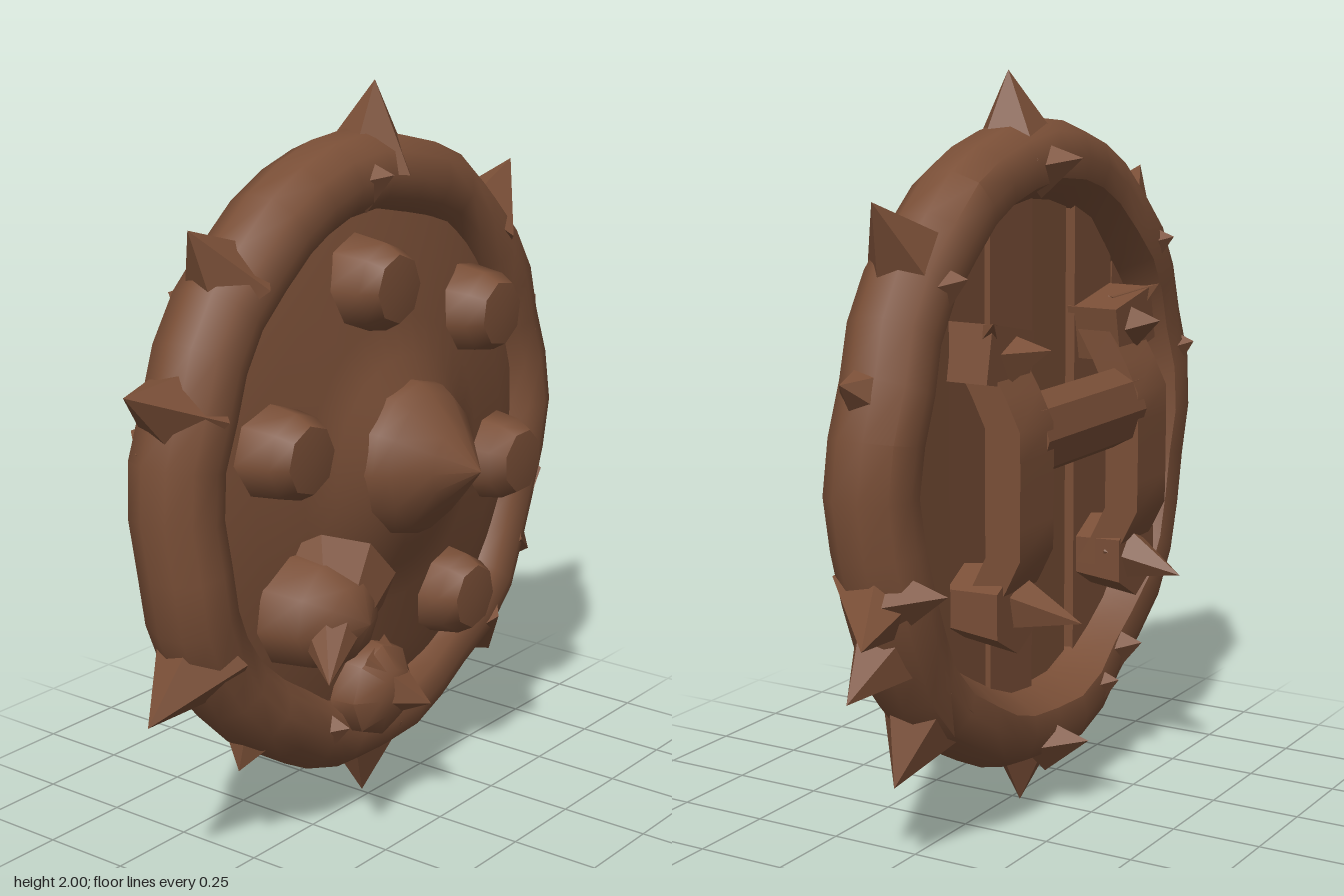
import * as THREE from 'three';
import { toCreasedNormals } from 'three/addons/utils/BufferGeometryUtils.js';

const brown = new THREE.MeshStandardMaterial({ color: 0x7a4f37 });
const CY = 1; // height of the shield's centre

export function createModel() {
  const shield = new THREE.Group();
  shield.name = 'spikedShield';

  const add = (name, geometry, x = 0, y = 0, z = 0, crease = 0.6) => {
    const mesh = new THREE.Mesh(toCreasedNormals(geometry, crease), brown);
    mesh.name = name;
    mesh.position.set(x, y, z);
    shield.add(mesh);
    return mesh;
  };

  // Turned shape whose axis points to the front
  const turned = (profile, sides) =>
    new THREE.LatheGeometry(profile.map(([r, h]) => new THREE.Vector2(r, h)), sides).rotateX(Math.PI / 2);

  // Faceted cone from a base centre to a tip
  const spike = (name, base, tip, radius, sides = 5) => {
    const a = new THREE.Vector3(...base);
    const dir = new THREE.Vector3(...tip).sub(a);
    const length = dir.length();
    const cone = new THREE.ConeGeometry(radius, length, sides).translate(0, length / 2, 0);
    add(name, cone, ...base, 0.3).quaternion.setFromUnitVectors(new THREE.Vector3(0, 1, 0), dir.normalize());
  };

  // Uneven rim with a sloping inner wall at the back, slightly taller than wide
  const section = [
    [0.63, 0.06], [0.625, -0.02], [0.68, -0.115], [0.735, -0.125], [0.795, -0.1], [0.825, -0.03],
    [0.82, 0.045], [0.78, 0.1], [0.72, 0.125], [0.665, 0.105], [0.63, 0.06],
  ];
  const rim = turned(section, 36).scale(1, 1.06, 1);
  const p = rim.attributes.position;
  for (let i = 0; i < p.count; i++) {
    const a = Math.atan2(p.getY(i), p.getX(i));
    const k = 1 + 0.007 * Math.sin(a * 7 + 1) + 0.006 * Math.sin(a * 13);
    p.setXYZ(i, p.getX(i) * k, p.getY(i) * k, p.getZ(i) + 0.008 * Math.sin(a * 9 + 2));
  }
  add('rim', rim, 0, CY, -0.035, 0.8);

  // Shallow domed face with the pointed boss in the middle
  const face = [[0.68, 0.02], [0.54, 0.06], [0.38, 0.085], [0.28, 0.11], [0.21, 0.15], [0.12, 0.17]];
  add('frontFace', turned(face, 32).scale(1, 1.04, 1), 0, CY, 0, 1);
  const boss = [[0.22, 0.1], [0.208, 0.17], [0.185, 0.21], [0.1, 0.285], [0, 0.37]];
  add('boss', turned(boss, 12), 0, CY + 0.02, 0, 0.7);

  // Blunt studs on the face
  const stud = [[0.13, 0], [0.115, 0.1], [0.09, 0.145], [0, 0.155]];
  [[-0.11, 1.5], [0.36, 1.35], [0.48, 0.9], [0.25, 0.56], [-0.47, 1.13]].forEach(([x, y], i) => {
    add('stud', turned(stud, 8).rotateZ(i), x, y, 0.04, 0.9);
  });

  // Two larger horns low on the face
  const horn = [[0.165, 0], [0.15, 0.12], [0.1, 0.19], [0, 0.24]];
  add('leftHorn', turned(horn, 9), -0.37, 0.69, 0.05, 0.9);
  spike('leftHornTip', [-0.29, 0.75, 0.1], [-0.54, 0.58, 0.29], 0.17, 8);
  add('lowerHorn', turned([[0.14, 0], [0.13, 0.07], [0.07, 0.12], [0, 0.13]], 8), -0.08, 0.37, 0.04, 0.9);
  spike('lowerHornTip', [-0.08, 0.39, 0.06], [-0.02, 0.34, 0.23], 0.13, 6);

  // Large spikes around the rim: tip x, y, z and base radius
  const rimTips = [
    [0.055, 2, -0.02, 0.14], [0.71, 1.71, -0.03, 0.14], [0.84, 1.29, -0.02, 0.12],
    [0.91, 0.67, -0.12, 0.13], [0.83, 0.5, -0.02, 0.13], [0.64, 0.23, -0.03, 0.15],
    [0.01, 0, -0.03, 0.13], [-0.52, 0.25, -0.03, 0.12], [-0.86, 0.49, -0.03, 0.14],
    [-0.77, 0.72, 0.02, 0.09], [-0.91, 1.35, -0.03, 0.14], [-0.66, 1.71, -0.04, 0.13],
  ];
  for (const [x, y, z, r] of rimTips) {
    const a = Math.atan2((y - CY) / 1.06, x);
    spike('rimSpike', [0.73 * Math.cos(a), CY + 0.774 * Math.sin(a), -0.035], [x, y, z], r);
  }

  // Small spikes on the front and back of the rim
  const smallTips = [
    [-0.06, 1.78, 0.13], [0.05, 1.78, -0.24], [-0.37, 0.38, -0.21], [0.02, 0.21, -0.25],
    [-0.25, 0.3, -0.2], [-0.72, 1.2, -0.19], [-0.56, 1.52, -0.2], [0.55, 1.52, -0.2],
    [0.73, 0.78, -0.25], [-0.25, 0.32, 0.13],
  ];
  for (const [x, y, z] of smallTips) {
    spike('smallRimSpike', [x, y - 0.03, z > 0 ? 0.02 : -0.1], [x, y, z], 0.08, 4);
  }

  // Upright planks of uneven depth across the back, trimmed to the oval
  const half = (x) => 0.71 * Math.sqrt(Math.max(0, 1 - (x / 0.69) ** 2));
  const width = 0.22;
  for (let i = 0; i < 6; i++) {
    const x0 = (i - 3) * width + 0.006, x1 = x0 + width - 0.012;
    const outline = new THREE.Shape([
      new THREE.Vector2(x0, -half(x0)), new THREE.Vector2(x1, -half(x1)),
      new THREE.Vector2(x1, half(x1)), new THREE.Vector2(x0, half(x0)),
    ]);
    const plank = new THREE.ExtrudeGeometry(outline, { depth: 0.06, bevelEnabled: false });
    add('backPlank', plank, 0, CY, -0.05 - 0.015 * (i % 2)).rotation.y = 0.03 * (i % 3 - 1);
  }

  // Thick eight-sided hand grip
  const grip = new THREE.CylinderGeometry(0.11, 0.11, 0.54, 8, 1).rotateZ(Math.PI / 2).scale(1, 1, 0.75);
  add('grip', grip, 0, 1.08, -0.185, 0.3);

  // Arm strap standing off the planks, with steep ends
  const strap = new THREE.BoxGeometry(0.17, 0.66, 0.1, 1, 8, 1);
  const v = strap.attributes.position;
  for (let i = 0; i < v.count; i++) {
    const bow = Math.min(1, 1.4 * Math.cos((v.getY(i) / 0.66) * Math.PI));
    v.setZ(i, v.getZ(i) - 0.09 * bow);
  }

  // Straps with their mounting blocks and spiked bolts, mirrored
  for (const s of [-1, 1]) {
    add('armStrap', strap, s * 0.32, 0.96, -0.12);
    add('upperMount', new THREE.BoxGeometry(0.21, 0.15, 0.15), s * 0.34, 1.3, -0.12).rotation.z = s * 0.2;
    spike('upperBolt', [s * 0.34, 1.29, -0.14], [s * 0.3, 1.32, -0.29], 0.09, 4);
    spike('upperSideBolt', [s * 0.36, 1.33, -0.12], [s * 0.45, 1.4, -0.21], 0.07, 4);
    const mount = new THREE.CylinderGeometry(0.12, 0.1, 0.16, 6).rotateX(-Math.PI / 2);
    add('lowerMount', mount, s * 0.33, 0.65, -0.13);
    spike('lowerBolt', [s * 0.31, 0.66, -0.17], [s * 0.28, 0.62, -0.37], 0.085, 5);
  }

  return shield;
}
